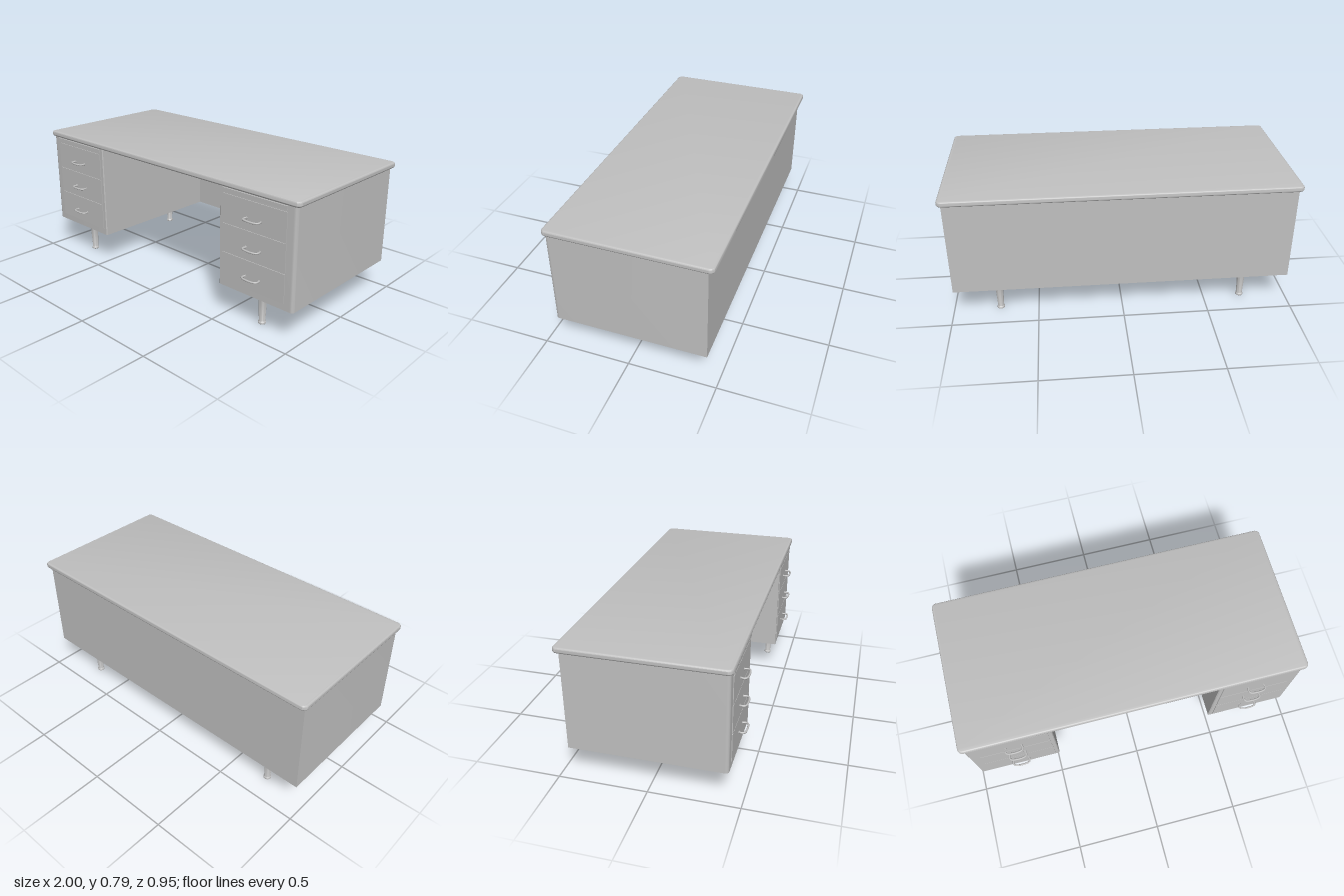
import * as THREE from 'three';
import { toCreasedNormals } from 'three/addons/utils/BufferGeometryUtils.js';

export function createModel() {
  const desk = new THREE.Group();
  desk.name = 'desk';
  const grey = new THREE.MeshStandardMaterial({ color: 0xc0c0c0 });
  grey.name = 'grey paint';

  const add = (name, geometry, x = 0, y = 0, z = 0, parent = desk) => {
    const mesh = new THREE.Mesh(geometry, grey);
    mesh.name = name;
    mesh.position.set(x, y, z);
    parent.add(mesh);
    return mesh;
  };

  // Box given by its limits on each axis
  const block = (name, x0, x1, y0, y1, z0, z1, parent) =>
    add(name, new THREE.BoxGeometry(Math.abs(x1 - x0), y1 - y0, z1 - z0),
      (x0 + x1) / 2, (y0 + y1) / 2, (z0 + z1) / 2, parent);

  // Extrude a plan outline (x, z) downwards from y = 0
  const extrudePlan = (shape, options) => {
    const g = new THREE.ExtrudeGeometry(shape, { curveSegments: 6, ...options });
    g.rotateX(Math.PI / 2);
    return toCreasedNormals(g, 0.6);
  };

  // Desktop: rounded corners and softened edge
  const edge = 0.011, hx = 1 - edge, z0 = -0.472 + edge, z1 = 0.44 - edge, r = 0.017;
  const plan = new THREE.Shape();
  plan.moveTo(-hx + r, z0);
  plan.lineTo(hx - r, z0);
  plan.absarc(hx - r, z0 + r, r, -Math.PI / 2, 0);
  plan.absarc(hx - r, z1 - r, r, 0, Math.PI / 2);
  plan.absarc(-hx + r, z1 - r, r, Math.PI / 2, Math.PI);
  plan.absarc(-hx + r, z0 + r, r, Math.PI, Math.PI * 1.5);
  add('desktop', extrudePlan(plan, {
    depth: 0.01, bevelEnabled: true, bevelSize: edge, bevelThickness: 0.011, bevelSegments: 4,
  }), 0, 0.776, 0);

  // Back panel closing the knee space
  block('backPanel', -0.49, 0.49, 0.187, 0.756, -0.44, -0.43);

  // Shared handle and leg geometries
  const handlePath = new THREE.CatmullRomCurve3([
    [-0.046, 0], [-0.05, 0.018], [-0.045, 0.03], [-0.025, 0.037],
    [0.025, 0.037], [0.045, 0.03], [0.05, 0.018], [0.046, 0],
  ].map(([x, z]) => new THREE.Vector3(x, 0, z)));
  const handleGeo = new THREE.TubeGeometry(handlePath, 28, 0.0055, 8);
  const roseGeo = new THREE.CylinderGeometry(0.008, 0.008, 0.004, 12);
  roseGeo.rotateX(Math.PI / 2);
  const legGeo = toCreasedNormals(new THREE.LatheGeometry([
    [0, 0], [0.019, 0], [0.022, 0.003], [0.022, 0.011], [0.019, 0.015],
    [0.0175, 0.017], [0.0235, 0.15], [0.0245, 0.184],
  ].map(([x, y]) => new THREE.Vector2(x, y)), 20), 0.7);

  for (const s of [-1, 1]) {
    const side = s > 0 ? 'left' : 'right';
    const pedestal = new THREE.Group();
    pedestal.name = side + 'Pedestal';
    desk.add(pedestal);

    // Cabinet body with rounded outer front corner
    const body = new THREE.Shape();
    body.moveTo(s * 0.485, -0.44);
    body.lineTo(s * 0.98, -0.44);
    body.lineTo(s * 0.98, 0.407);
    body.quadraticCurveTo(s * 0.98, 0.427, s * 0.96, 0.427);
    body.lineTo(s * 0.49, 0.427);
    body.lineTo(s * 0.485, 0.422);
    add('cabinet', extrudePlan(body, { depth: 0.57, bevelEnabled: false }), 0, 0.757, 0, pedestal);

    // Pull-out writing board under the desktop
    block('writingBoard', s * 0.51, s * 0.925, 0.73, 0.75, 0.42, 0.434, pedestal);

    // Three drawers with bow handles
    [[0.556, 0.718, 0.622], [0.391, 0.552, 0.46], [0.225, 0.387, 0.296]].forEach(([y0, y1, hy], i) => {
      const drawer = new THREE.Group();
      drawer.name = 'drawer' + (i + 1);
      pedestal.add(drawer);
      block('drawerFront', s * 0.51, s * 0.925, y0, y1, 0.42, 0.431, drawer);
      add('handle', handleGeo, s * 0.718, hy, 0.43, drawer);
      for (const e of [-1, 1]) add('handleMount', roseGeo, s * 0.718 + e * 0.046, hy, 0.432, drawer);
    });

    // Tapered legs with square mounting plates
    for (const z of [0.344, -0.35]) {
      const leg = new THREE.Group();
      leg.name = side + (z > 0 ? 'FrontLeg' : 'BackLeg');
      desk.add(leg);
      add('legPost', legGeo, s * 0.725, 0, z, leg);
      add('legPlate', new THREE.BoxGeometry(0.1, 0.006, 0.096), s * 0.725, 0.185, z, leg);
    }
  }
  return desk;
}
